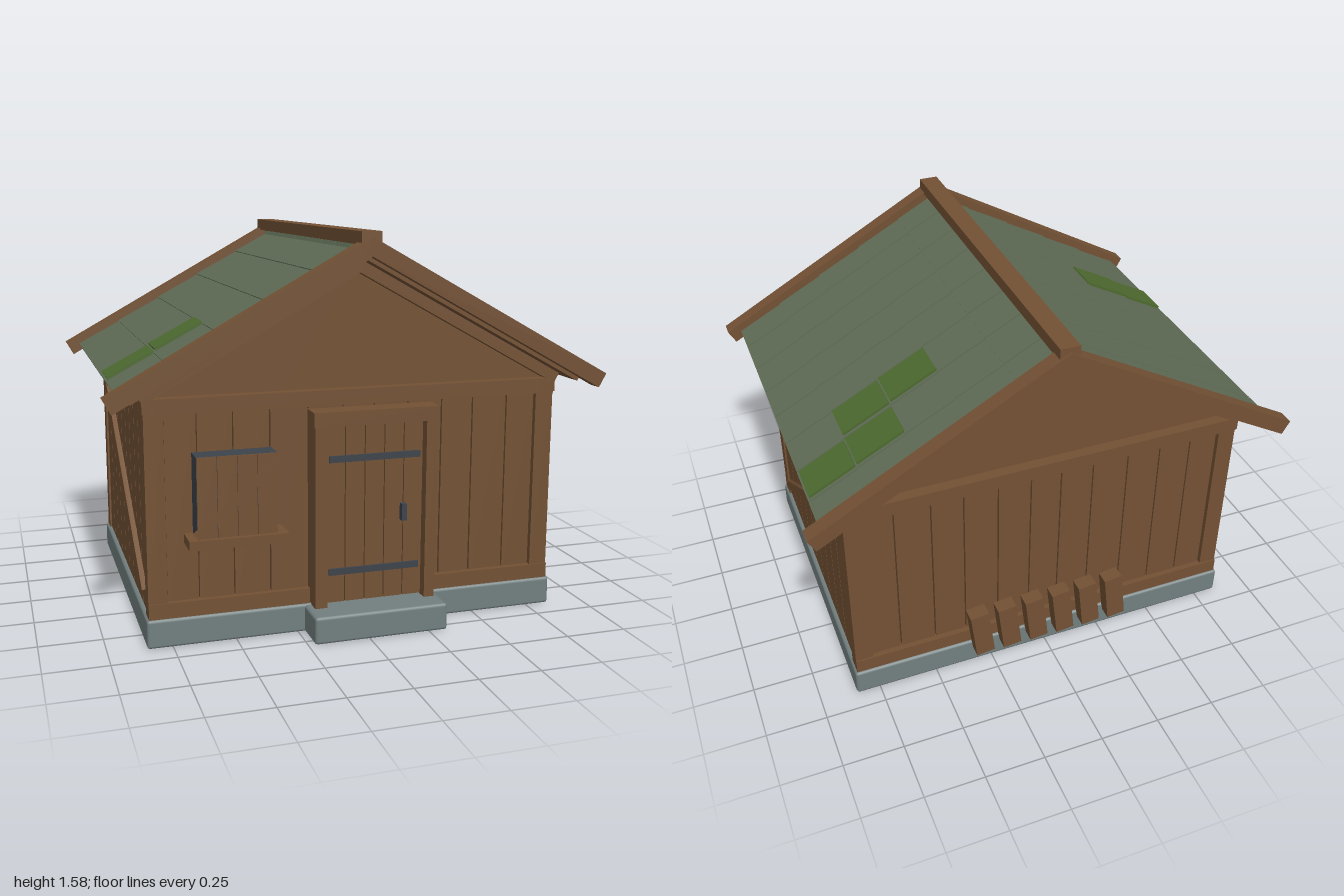
import * as THREE from 'three';
import { RoundedBoxGeometry } from 'three/addons/geometries/RoundedBoxGeometry.js';

const material = (name, color) => Object.assign(new THREE.MeshStandardMaterial({ color }), { name });

export function createModel() {
  const wood = material('brown wood', 0x735134);
  const stone = material('grey stone', 0x727f7f);
  const slate = material('green roof tile', 0x5f6c55);
  const moss = material('moss', 0x4d6a2f);
  const iron = material('dark iron', 0x3c434b);

  const hut = new THREE.Group();
  hut.name = 'hut';

  const add = (parent, name, geo, mat, x = 0, y = 0, z = 0) => {
    const m = new THREE.Mesh(geo, mat);
    m.name = name;
    m.position.set(x, y, z);
    parent.add(m);
    return m;
  };
  // Box given by its bounds
  const box = (parent, name, mat, x0, x1, y0, y1, z0, z1) =>
    add(parent, name, new THREE.BoxGeometry(x1 - x0, y1 - y0, z1 - z0), mat,
      (x0 + x1) / 2, (y0 + y1) / 2, (z0 + z1) / 2);
  const group = (parent, name) => {
    const g = new THREE.Group();
    g.name = name;
    parent.add(g);
    return g;
  };

  // Stone base and doorstep
  add(hut, 'foundation', new RoundedBoxGeometry(1.7, 0.115, 1.33, 1, 0.012), stone, 0, 0.0575, -0.01);
  add(hut, 'doorstep', new RoundedBoxGeometry(0.55, 0.11, 0.17, 1, 0.012), stone, 0.05, 0.055, 0.715);

  // House body, centred on its own depth
  const house = group(hut, 'house');
  house.position.z = -0.01;

  const outline = new THREE.Shape([
    [-0.815, 0.11], [0.815, 0.11], [0.815, 0.985], [0, 1.46], [-0.815, 0.985],
  ].map(([x, y]) => new THREE.Vector2(x, y)));
  const core = new THREE.ExtrudeGeometry(outline, { depth: 1.22, bevelEnabled: false });
  add(house, 'wallCore', core, wood, 0, 0, -0.61);

  // Vertical cladding on the front and back
  const edges = [-0.765, -0.64, -0.5, -0.355, -0.2, -0.06, 0.07, 0.21, 0.355, 0.49, 0.64, 0.765];
  for (const s of [-1, 1]) {
    const wall = group(house, s > 0 ? 'frontWall' : 'backWall');
    for (let i = 0; i < edges.length - 1; i++) {
      const a = s * 0.6, b = s * 0.632;
      box(wall, 'wallBoard', wood, edges[i] + 0.003, edges[i + 1] - 0.003, 0.115, 0.94,
        Math.min(a, b), Math.max(a, b));
    }
    const zs = [s * 0.6, s * 0.655].sort((a, b) => a - b);
    box(wall, 'tieBeam', wood, -0.84, 0.84, 0.908, 0.968, ...zs);
    for (const [x0, x1] of s > 0 ? [[-0.84, -0.2], [0.305, 0.84]] : [[-0.84, 0.84]])
      box(wall, 'sillBeam', wood, x0, x1, 0.113, 0.175, ...zs);
    for (const t of [-1, 1]) {
      const xs = [t * 0.765, t * 0.84].sort((a, b) => a - b);
      const pz = [s * 0.58, s * 0.648].sort((a, b) => a - b);
      box(wall, 'cornerPost', wood, ...xs, 0.113, 0.94, ...pz);
    }
  }

  // Side walls: cladding, wall plate and long diagonal brace
  for (const s of [-1, 1]) {
    const wall = group(house, s > 0 ? 'leftWall' : 'rightWall');
    const n = 9, w = 1.16 / n;
    for (let i = 0; i < n; i++)
      add(wall, 'wallBoard', new THREE.BoxGeometry(0.03, 0.83, w - 0.006), wood,
        s * 0.817, 0.528, -0.58 + (i + 0.5) * w);
    add(wall, 'wallPlate', new THREE.BoxGeometry(0.05, 0.055, 1.31), wood, s * 0.82, 0.94, 0);
    const brace = add(wall, 'brace', new THREE.BoxGeometry(0.025, 0.042, 1.33), wood, s * 0.84, 0.55, 0);
    brace.rotation.x = Math.atan2(0.715, 1.12);
  }

  // Roof: each slope is built along local x (down the slope) with y as its normal
  const angle = Math.atan(0.555), rows = 5, cols = 8, pitch = 0.192;
  const roof = group(house, 'roof');
  for (const s of [1, -1]) {
    const turn = group(roof, s > 0 ? 'leftSlope' : 'rightSlope');
    turn.rotation.y = s > 0 ? 0 : Math.PI;
    const slope = group(turn, 'slope');
    slope.position.y = 1.555;
    slope.rotation.z = -angle;
    box(slope, 'roofDeck', wood, 0.03, 1.07, -0.078, -0.052, -0.74, 0.74);
    for (const t of [-1, 1]) {
      add(slope, 'bargeboard', new THREE.BoxGeometry(1.143, 0.063, 0.064), wood, 0.5715, -0.0315, t * 0.757);
      add(slope, 'gableRafter', new THREE.BoxGeometry(0.98, 0.045, 0.06), wood, 0.54, -0.1, t * 0.625);
    }
    // Overlapping tiles, the lower edge slightly raised
    const mossy = s > 0 ? ['2,2', '3,2', '3,1', '4,1'] : ['3,2', '4,2'];
    for (let r = 0; r < rows; r++) {
      const x0 = r ? 0.21 + (r - 1) * 0.222 : 0.01;
      const x1 = Math.min(0.21 + r * 0.222, 1.092);
      for (let c = 0; c < cols; c++) {
        const z = (c - 3.5) * pitch;
        const tile = add(slope, 'roofTile', new THREE.BoxGeometry(x1 - x0 + 0.004, 0.02, pitch - 0.006),
          slate, (x0 + x1) / 2, -0.044, z);
        tile.rotation.z = 0.02;
        if (mossy.includes(`${r},${c}`)) {
          const patch = add(slope, 'mossPatch', new THREE.BoxGeometry(x1 - x0 - 0.008, 0.016, 0.16),
            moss, (x0 + x1) / 2 - 0.005, -0.031, z);
          patch.rotation.z = 0.02;
        }
      }
    }
  }
  box(roof, 'ridgeBeam', wood, -0.04, 0.04, 1.525, 1.575, -0.78, 0.78);

  // Door with frame, strap hinges and handle
  const door = group(hut, 'door');
  for (let i = 0; i < 5; i++)
    box(door, 'doorPlank', wood, -0.145 + i * 0.081 + 0.002, -0.145 + (i + 1) * 0.081 - 0.002,
      0.116, 0.83, 0.6, 0.668);
  box(door, 'doorJamb', wood, -0.197, -0.147, 0.11, 0.84, 0.6, 0.705);
  box(door, 'doorJamb', wood, 0.26, 0.303, 0.11, 0.84, 0.6, 0.705);
  box(door, 'lintel', wood, -0.203, 0.31, 0.837, 0.895, 0.6, 0.71);
  for (const y of [0.243, 0.7])
    box(door, 'strapHinge', iron, -0.132, 0.245, y - 0.013, y + 0.013, 0.66, 0.677);
  box(door, 'doorHandle', iron, 0.165, 0.186, 0.435, 0.503, 0.66, 0.695);

  // Boarded window
  const win = group(hut, 'window');
  box(win, 'windowFrame', iron, -0.66, -0.35, 0.44, 0.755, 0.6, 0.712);
  for (let i = 0; i < 4; i++)
    box(win, 'shutterPlank', wood, -0.66 + i * 0.0775 + 0.001, -0.66 + (i + 1) * 0.0775 - 0.001,
      0.44, 0.755, 0.711, 0.718);
  box(win, 'windowSill', wood, -0.695, -0.31, 0.405, 0.442, 0.6, 0.737);
  const bar = add(win, 'shutterBrace', new THREE.BoxGeometry(0.43, 0.03, 0.02), wood, -0.503, 0.592, 0.724);
  bar.rotation.z = Math.atan2(0.275, 0.325);

  // Short planks leaning against the back wall
  const stack = group(hut, 'leaningPlanks');
  for (let i = 0; i < 6; i++) {
    const plank = add(stack, 'leaningPlank', new THREE.BoxGeometry(0.08, 0.222, 0.06), wood,
      -0.3 + i * 0.122, 0.197, -0.7);
    plank.rotation.z = -0.12;
  }
  return hut;
}
